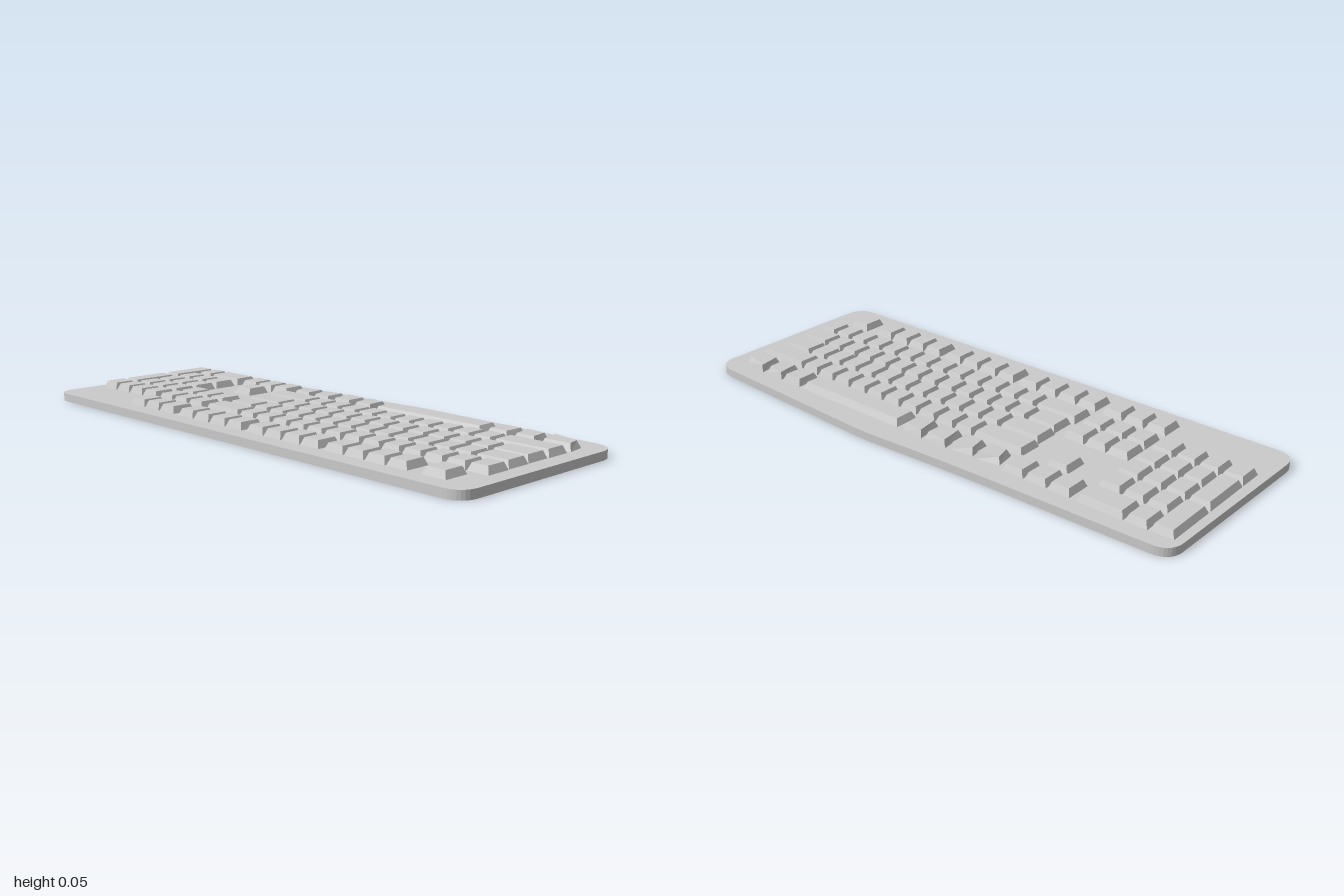
import * as THREE from 'three';

const material = new THREE.MeshStandardMaterial({ color: 0xcccccc, flatShading: true });
const BASE = 0.03, TOP = 0.055, GAP = 0.002, INSET = 0.013;

// Tapered keycap on four corners [x, z], ordered -x-z, +x-z, +x+z, -x+z
function keyGeometry(corners, inset) {
  const sx = [1, -1, -1, 1], sz = [1, 1, -1, -1];
  const ring = (y, d) => corners.map(([x, z], i) => [x + sx[i] * d, y, z + sz[i] * d]);
  const lower = ring(BASE - 0.002, GAP), upper = ring(TOP, inset);
  const pos = [];
  const quad = (a, b, c, d) => pos.push(...a, ...b, ...c, ...a, ...c, ...d);
  for (let i = 0; i < 4; i++) {
    const j = (i + 1) % 4;
    quad(lower[j], lower[i], upper[i], upper[j]);
  }
  quad(upper[3], upper[2], upper[1], upper[0]);
  const geo = new THREE.BufferGeometry();
  geo.setAttribute('position', new THREE.Float32BufferAttribute(pos, 3));
  geo.computeVertexNormals();
  return geo;
}

export function createModel() {
  const model = new THREE.Group();
  model.name = 'keyboard';

  // Base plate: straight back edge, bowed front edge, rounded corners (shape y = -z)
  const s = new THREE.Shape();
  s.moveTo(-0.39, -0.93);
  s.lineTo(-0.39, 0.93);
  s.quadraticCurveTo(-0.388, 0.998, -0.32, 1);
  s.lineTo(0.29, 0.99);
  s.quadraticCurveTo(0.348, 0.985, 0.351, 0.92);
  s.lineTo(0.366, 0.3);
  s.splineThru([[0.377, 0.05], [0.388, -0.13], [0.39, -0.2], [0.387, -0.3], [0.376, -0.55]]
    .map(([x, y]) => new THREE.Vector2(x, y)));
  s.lineTo(0.361, -0.92);
  s.quadraticCurveTo(0.357, -0.995, 0.29, -1);
  s.lineTo(-0.32, -1);
  s.quadraticCurveTo(-0.388, -0.998, -0.39, -0.93);
  const plate = new THREE.ExtrudeGeometry(s, { depth: BASE, bevelEnabled: false, curveSegments: 8 });
  plate.rotateX(-Math.PI / 2);
  const base = new THREE.Mesh(plate, material);
  base.name = 'basePlate';
  model.add(base);

  let group;
  const section = (name) => {
    group = new THREE.Group();
    group.name = name;
    model.add(group);
  };
  const quadKey = (name, corners, inset = INSET) => {
    const mesh = new THREE.Mesh(keyGeometry(corners, inset), material);
    mesh.name = name;
    group.add(mesh);
  };
  const key = (name, [x0, x1], z0, z1, inset) =>
    quadKey(name, [[x0, z0], [x1, z0], [x1, z1], [x0, z1]], inset);
  const run = (name, row, z0, z1, count) => {
    const step = (z1 - z0) / count;
    for (let i = 0; i < count; i++) key(name, row, z0 + i * step, z0 + (i + 1) * step);
  };

  // Key rows as x ranges, from the back edge to the front edge
  const functionRow = [-0.327, -0.228];
  const rows = [[-0.203, -0.105], [-0.106, -0.007], [-0.01, 0.09], [0.09, 0.188], [0.198, 0.298]];
  const [numberRow, upperRow, homeRow, lowerRow, spaceRow] = rows;

  section('functionKeys');
  run('functionKey', functionRow, -0.605, -0.345, 3);
  run('functionKey', functionRow, -0.322, 0.022, 4);
  run('functionKey', functionRow, 0.042, 0.386, 4);
  run('functionKey', functionRow, 0.405, 0.749, 4);
  key('escapeKey', functionRow, 0.798, 0.892);

  section('numberPad');
  const pad = [-0.964, -0.877, -0.793, -0.708, -0.62];
  key('padKey', numberRow, pad[0], pad[1]);
  key('padWideKey', [upperRow[0], homeRow[1]], pad[0], pad[1]);
  key('padWideKey', [lowerRow[0] + 0.005, spaceRow[1] - 0.005], pad[0], pad[1]);
  rows.forEach((row) => key('padKey', row, pad[1], pad[2]));
  rows.slice(0, 4).forEach((row) => {
    key('padKey', row, pad[2], pad[3]);
    key('padKey', row, pad[3], pad[4]);
  });
  key('padTallKey', spaceRow, pad[2], pad[4]);

  section('navigationKeys');
  run('navigationKey', numberRow, -0.605, -0.345, 3);
  run('navigationKey', upperRow, -0.605, -0.345, 3);
  run('arrowKey', spaceRow, -0.6, -0.33, 3);
  key('arrowKey', lowerRow, -0.51, -0.42);

  // Typing rows: wide key, run of letter keys, wide key
  section('typingKeys');
  key('backspaceKey', numberRow, -0.325, -0.145);
  run('numberKey', numberRow, -0.145, 0.943, 13);
  key('slashKey', upperRow, -0.312, -0.185);
  run('letterKey', upperRow, -0.185, 0.805, 12);
  key('tabKey', upperRow, 0.805, 0.94);
  key('enterKey', homeRow, -0.318, -0.147);
  run('letterKey', homeRow, -0.147, 0.792, 11);
  key('capsKey', homeRow, 0.792, 0.938);
  key('shiftKey', lowerRow, -0.328, -0.115);
  run('letterKey', lowerRow, -0.115, 0.722, 10);
  key('shiftKey', lowerRow, 0.722, 0.94);

  // Space bar with slightly skewed modifier keys on both sides
  section('spaceRowKeys');
  key('spaceBar', spaceRow, 0.12, 0.597, 0.015);
  const skewed = (z0, z1, e0, e1, x0 = 0.298, x1 = 0.298) =>
    quadKey('modifierKey', [[0.2, z0], [x0, e0], [x1, e1], [0.2, z1]]);
  skewed(-0.3, -0.21, -0.313, -0.212, 0.28, 0.295);
  skewed(-0.197, -0.108, -0.208, -0.108, 0.288, 0.298);
  skewed(-0.093, 0.0, -0.103, 0.0, 0.305, 0.298);
  skewed(0.015, 0.105, 0.003, 0.1, 0.305, 0.298);
  skewed(0.613, 0.703, 0.61, 0.706);
  skewed(0.718, 0.808, 0.708, 0.803, 0.3, 0.29);
  skewed(0.823, 0.942, 0.81, 0.932, 0.302, 0.275);

  return model;
}
